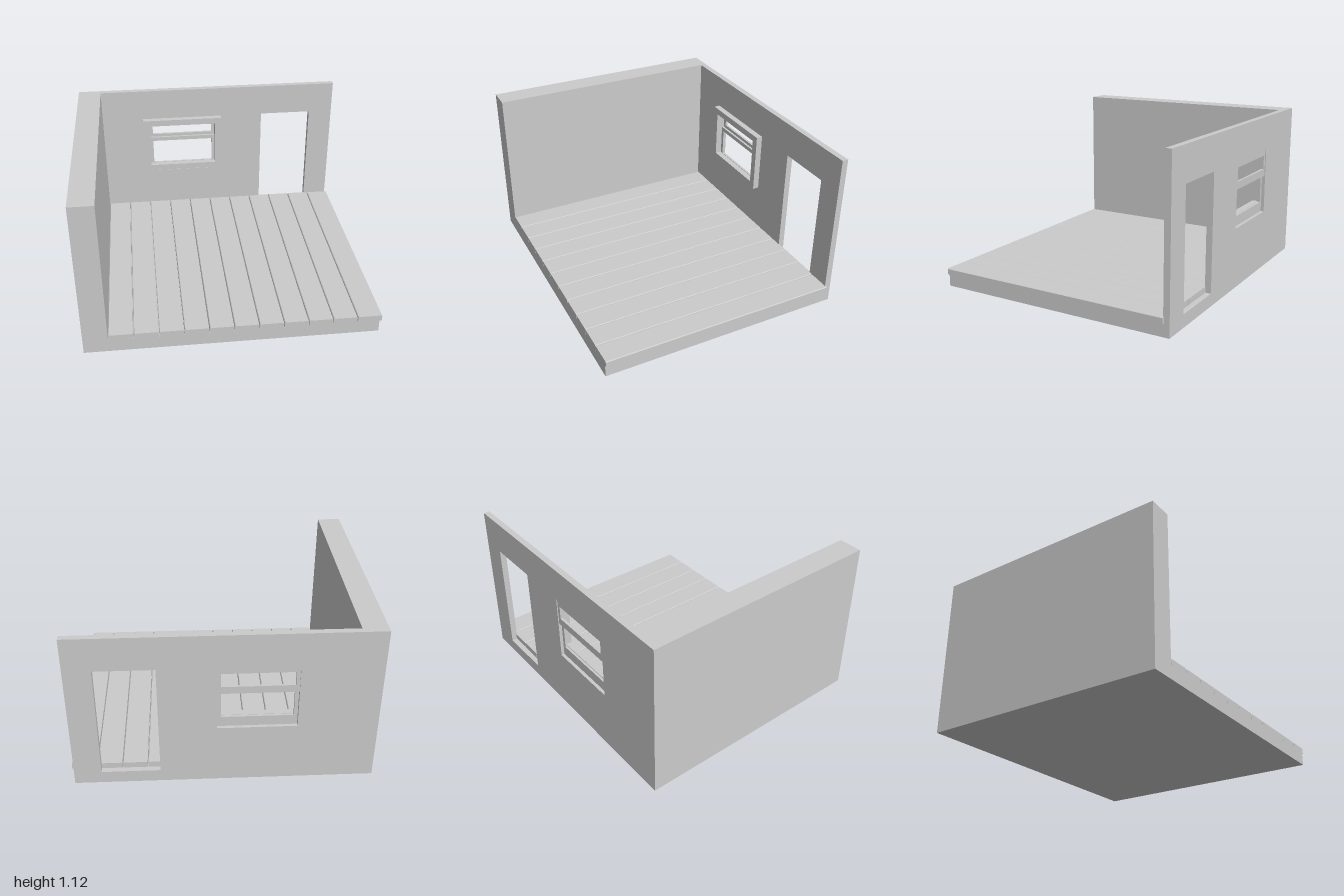
import * as THREE from 'three';

const material = new THREE.MeshStandardMaterial({ color: 0xcccccc, flatShading: true });

function addMesh(parent, name, geometry) {
  const mesh = new THREE.Mesh(geometry, material);
  mesh.name = name;
  parent.add(mesh);
  return mesh;
}

// Box given by its lower and upper corners
function addBox(parent, name, [x0, y0, z0], [x1, y1, z1]) {
  const mesh = addMesh(parent, name, new THREE.BoxGeometry(x1 - x0, y1 - y0, z1 - z0));
  mesh.position.set((x0 + x1) / 2, (y0 + y1) / 2, (z0 + z1) / 2);
  return mesh;
}

function trace(path, points) {
  path.setFromPoints(points.map(([x, y]) => new THREE.Vector2(x, y)));
  path.closePath();
  return path;
}

const rect = (x0, y0, x1, y1) => [[x0, y0], [x1, y0], [x1, y1], [x0, y1]];

// Flat panel in the xy plane with rectangular openings, spanning z0 to z1
function addPanel(parent, name, outline, openings, z0, z1) {
  const shape = trace(new THREE.Shape(), outline);
  for (const o of openings) shape.holes.push(trace(new THREE.Path(), rect(...o).reverse()));
  const geometry = new THREE.ExtrudeGeometry(shape, { depth: z1 - z0, bevelEnabled: false });
  geometry.translate(0, 0, z0);
  return addMesh(parent, name, geometry);
}

export function createModel() {
  const room = new THREE.Group();
  room.name = 'roomCorner';

  const back = -0.853, front = 0.853, wallFace = -0.81;
  const left = -1, innerLeft = -0.835, right = 0.985;
  const wallTop = 1.12, slabTop = 0.088, floorTop = 0.13;

  // Walls and foundation
  addPanel(room, 'backWall', rect(left, 0, right, wallTop), [
    [0.417, slabTop, 0.805, 0.887], // doorway
    [-0.475, 0.425, 0.042, 0.887],  // window opening
  ], back, wallFace);
  addBox(room, 'sideWall', [left, 0, wallFace], [innerLeft, wallTop, front]);
  addBox(room, 'foundation', [innerLeft, 0, wallFace], [right, slabTop, front]);

  // Floorboards with chamfered upper edges
  const boards = new THREE.Group();
  boards.name = 'floorboards';
  room.add(boards);
  const count = 11, pitch = (1 - innerLeft) / count, gap = 0.002, c = 0.005;
  for (let i = 0; i < count; i++) {
    const x0 = innerLeft + i * pitch + gap, x1 = innerLeft + (i + 1) * pitch - (i < count - 1 ? gap : 0);
    addPanel(boards, 'floorboard', [
      [x0, slabTop], [x1, slabTop], [x1, floorTop - c], [x1 - c, floorTop],
      [x0 + c, floorTop], [x0, floorTop - c],
    ], [], -0.815, front);
  }

  // Window: raised casing and two overlapping sashes
  const window = new THREE.Group();
  window.name = 'window';
  room.add(window);
  addPanel(window, 'windowCasing', rect(-0.525, 0.455, 0.092, 0.887),
    [[-0.475, 0.497, 0.042, 0.84]], wallFace, -0.765);
  addPanel(window, 'lowerSash', rect(-0.475, 0.425, 0.042, 0.72),
    [[-0.45, 0.497, 0.018, 0.69]], -0.83, -0.813);
  addPanel(window, 'upperSash', rect(-0.475, 0.69, 0.042, 0.887),
    [[-0.45, 0.742, 0.018, 0.84]], -0.847, -0.83);

  return room;
}
